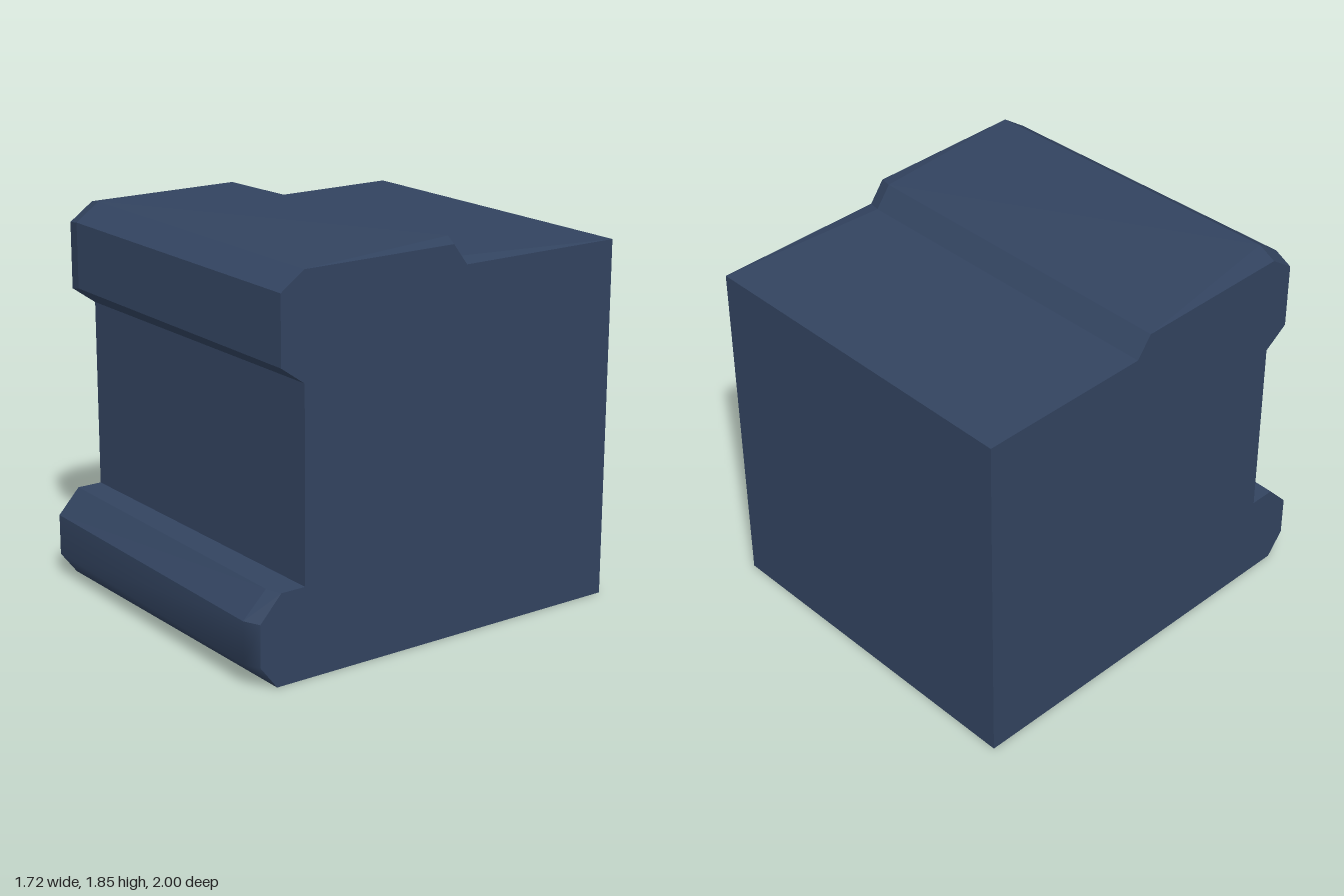
import * as THREE from 'three';

const W = 0.86;
const LEFT = -0.75, RIGHT = 0.78; // x of the slight bulge along an edge

// Lengthwise edges, ordered round the profile: z, y at both ends, then bulge x, z, y
const edges = [
  [-1, 0], // bottom back
  [0.88, 0], // bottom front
  [0.965, 0.11, RIGHT, 1.0, 0.11], // foot, lower front
  [0.965, 0.31, RIGHT, 1.0, 0.31], // foot, upper front
  [0.855, 0.43, RIGHT, 0.88, 0.43], // foot, top
  [0.73, 0.43], // recess bottom
  [0.73, 1.34], // recess top
  [0.85, 1.425, LEFT, 0.88, 1.45], // lip, lower front
  [0.85, 1.745, LEFT, 0.88, 1.765], // lip, upper front
  [0.73, 1.83, LEFT, 0.76, 1.85], // lip, top
  [-0.065, 1.83, RIGHT, -0.095, 1.85], // step crest
  [-0.14, 1.73, RIGHT, -0.17, 1.75], // step foot
  [-1, 1.73], // top back
];

function edgePoints([z, y, bx, bz, by]) {
  const points = [[-W, y, z], [W, y, z]];
  if (bx !== undefined) points.splice(1, 0, [bx, by, bz]);
  return points;
}

// Skins the faces between edge number first and edge number last
function skin(first, last, smooth) {
  const positions = [], index = [], rows = [];
  for (let i = first; i <= last; i++) {
    rows.push(edgePoints(edges[i % edges.length]).map((p) => {
      positions.push(...p);
      return { x: p[0], id: positions.length / 3 - 1 };
    }));
  }
  for (let r = 0; r < rows.length - 1; r++) {
    const a = rows[r], b = rows[r + 1];
    let i = 0, j = 0;
    while (i < a.length - 1 || j < b.length - 1) {
      const nextA = i < a.length - 1 ? a[i + 1].x : Infinity;
      const nextB = j < b.length - 1 ? b[j + 1].x : Infinity;
      // On a tie the diagonal starts from the point further along
      if (nextA < nextB || (nextA === nextB && a[i].x < b[j].x)) {
        index.push(a[i].id, a[i + 1].id, b[j].id);
        i++;
      } else {
        index.push(a[i].id, b[j + 1].id, b[j].id);
        j++;
      }
    }
  }
  let geometry = new THREE.BufferGeometry();
  geometry.setAttribute('position', new THREE.Float32BufferAttribute(positions, 3));
  geometry.setIndex(index);
  if (!smooth) geometry = geometry.toNonIndexed();
  geometry.computeVertexNormals();
  return geometry;
}

export function createModel() {
  const group = new THREE.Group();
  const slate = new THREE.MeshStandardMaterial({ color: 0x32435f });
  slate.name = 'slate blue';

  function add(name, geometry) {
    const mesh = new THREE.Mesh(geometry, slate);
    mesh.name = name;
    group.add(mesh);
    return mesh;
  }

  // Underside and rounded foot front share smooth normals; the rest is faceted
  add('roundedFoot', skin(0, 3, true));
  add('body', skin(3, edges.length, false));

  // Flat ends cut to the profile
  const profile = new THREE.Shape(edges.map(([z, y]) => new THREE.Vector2(-z, y)));
  const leftEnd = new THREE.ShapeGeometry(profile).rotateY(Math.PI / 2).translate(W, 0, 0);
  add('leftEnd', leftEnd);

  const mirrored = new THREE.Shape(edges.map(([z, y]) => new THREE.Vector2(z, y)));
  const rightEnd = new THREE.ShapeGeometry(mirrored).rotateY(-Math.PI / 2).translate(-W, 0, 0);
  add('rightEnd', rightEnd);

  return group;
}
